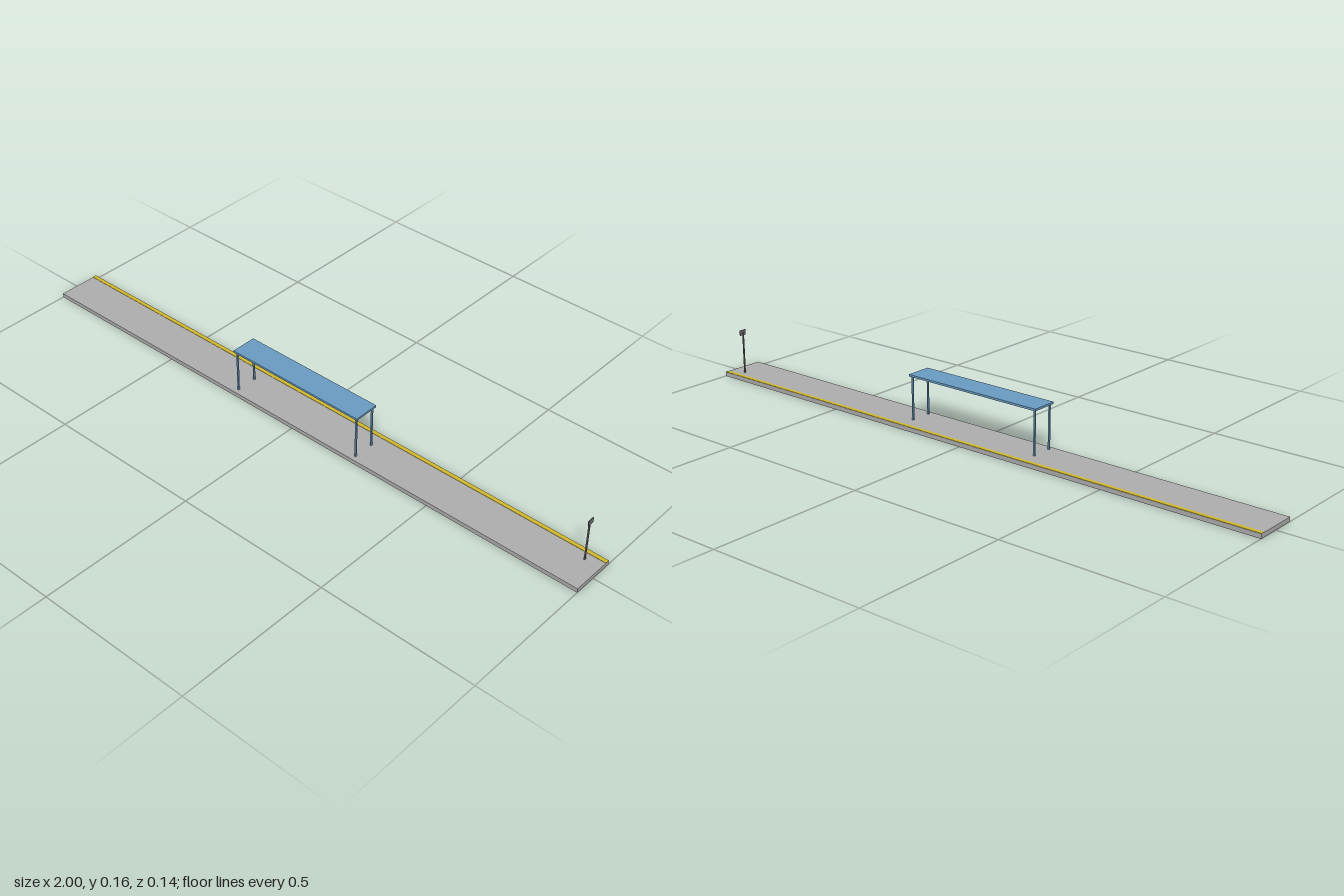
import * as THREE from 'three';

const material = (name, color) => {
  const m = new THREE.MeshStandardMaterial({ color });
  m.name = name;
  return m;
};

export function createModel() {
  const concrete = material('concrete grey', 0xb0b0b0);
  const blue = material('shelter blue', 0x6b9dc4);
  const yellow = material('safety yellow', 0xd6bc2c);
  const darkGrey = material('sign grey', 0x6a6a6a);

  const model = new THREE.Group();
  model.name = 'stationPlatform';

  // Box given by its centre in x and z, its bottom and its size
  const box = (parent, name, mat, [w, h, d], [x, bottom, z]) => {
    const mesh = new THREE.Mesh(new THREE.BoxGeometry(w, h, d), mat);
    mesh.name = name;
    mesh.position.set(x, bottom + h / 2, z);
    parent.add(mesh);
  };

  // Platform slab with the warning strip along its back edge
  const deck = 0.0135;
  box(model, 'platformSlab', concrete, [2, deck, 0.142], [0, 0, 0]);
  box(model, 'warningStrip', yellow, [2, 0.001, 0.013], [0, deck, -0.0635]);

  // Shelter: four posts under a flat roof
  const shelter = new THREE.Group();
  shelter.name = 'shelter';
  shelter.position.set(0, 0, 0.02);
  model.add(shelter);
  const roofBottom = 0.15;
  for (const x of [-0.23, 0.23]) {
    for (const z of [-0.0335, 0.0335]) {
      box(shelter, 'shelterPost', blue, [0.005, roofBottom - deck, 0.005], [x, deck, z]);
    }
  }
  box(shelter, 'shelterRoof', blue, [0.476, 0.0065, 0.083], [0, roofBottom, 0]);

  // Sign plate on a slim pole at the left end
  const sign = new THREE.Group();
  sign.name = 'sign';
  sign.position.set(0.95, 0, -0.0325);
  model.add(sign);
  box(sign, 'signPole', darkGrey, [0.004, 0.134, 0.004], [0, deck, 0]);
  box(sign, 'signPlate', darkGrey, [0.002, 0.0175, 0.023], [0.0025, 0.139, 0]);

  return model;
}
